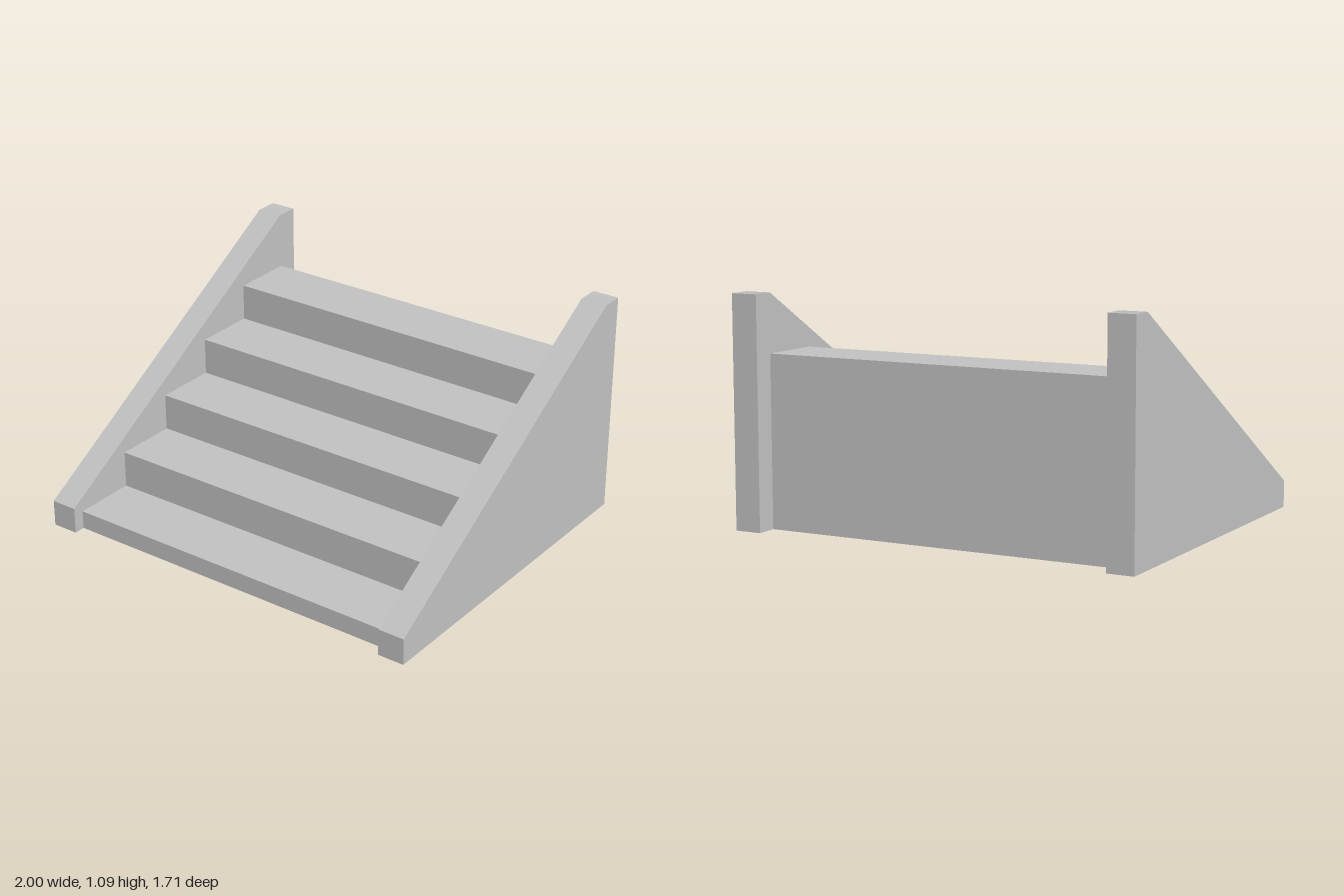
import * as THREE from 'three';

// Extrudes a (z, y) outline along x, centred on x = 0.
function extrudeAlongX(points, width) {
  const shape = new THREE.Shape(points.map(([z, y]) => new THREE.Vector2(z, y)));
  const geometry = new THREE.ExtrudeGeometry(shape, { depth: width, bevelEnabled: false });
  return geometry.translate(0, 0, -width / 2).rotateY(-Math.PI / 2);
}

export function createModel() {
  const model = new THREE.Group();
  model.name = 'staircase';
  const stone = new THREE.MeshStandardMaterial({ color: 0xc0c0c0 });
  stone.name = 'grey stone';

  // Solid flight of five steps
  const count = 5, tread = 0.31, rise = 0.18, front = 0.8, firstRise = 0.09;
  const back = front - count * tread;
  const profile = [[back, 0], [front, 0]];
  for (let i = 0; i < count; i++) {
    const y = firstRise + i * rise;
    profile.push([front - i * tread, y], [front - (i + 1) * tread, y]);
  }
  const steps = new THREE.Mesh(extrudeAlongX(profile, 1.742), stone);
  steps.name = 'steps';
  model.add(steps);

  // Sloping side walls with a short level top at the back
  const wallWidth = 0.13, crestZ = -0.745;
  const wallGeometry = extrudeAlongX(
    [[-0.855, 0], [0.855, 0], [0.855, 0.128], [crestZ, 1.087], [-0.855, 1.087]], wallWidth);

  // Blend the level top smoothly into the slope
  const slope = new THREE.Vector3(0, 1.6, 0.959).normalize();
  const position = wallGeometry.attributes.position, normal = wallGeometry.attributes.normal;
  for (let i = 0; i < position.count; i++) {
    if (normal.getY(i) > 0.9 && Math.abs(position.getZ(i) - crestZ) < 0.001) {
      normal.setXYZ(i, slope.x, slope.y, slope.z);
    }
  }
  for (const side of [-1, 1]) {
    const wall = new THREE.Mesh(wallGeometry, stone);
    wall.name = side > 0 ? 'leftWall' : 'rightWall';
    wall.position.x = side * (1 - wallWidth / 2);
    model.add(wall);
  }
  return model;
}
